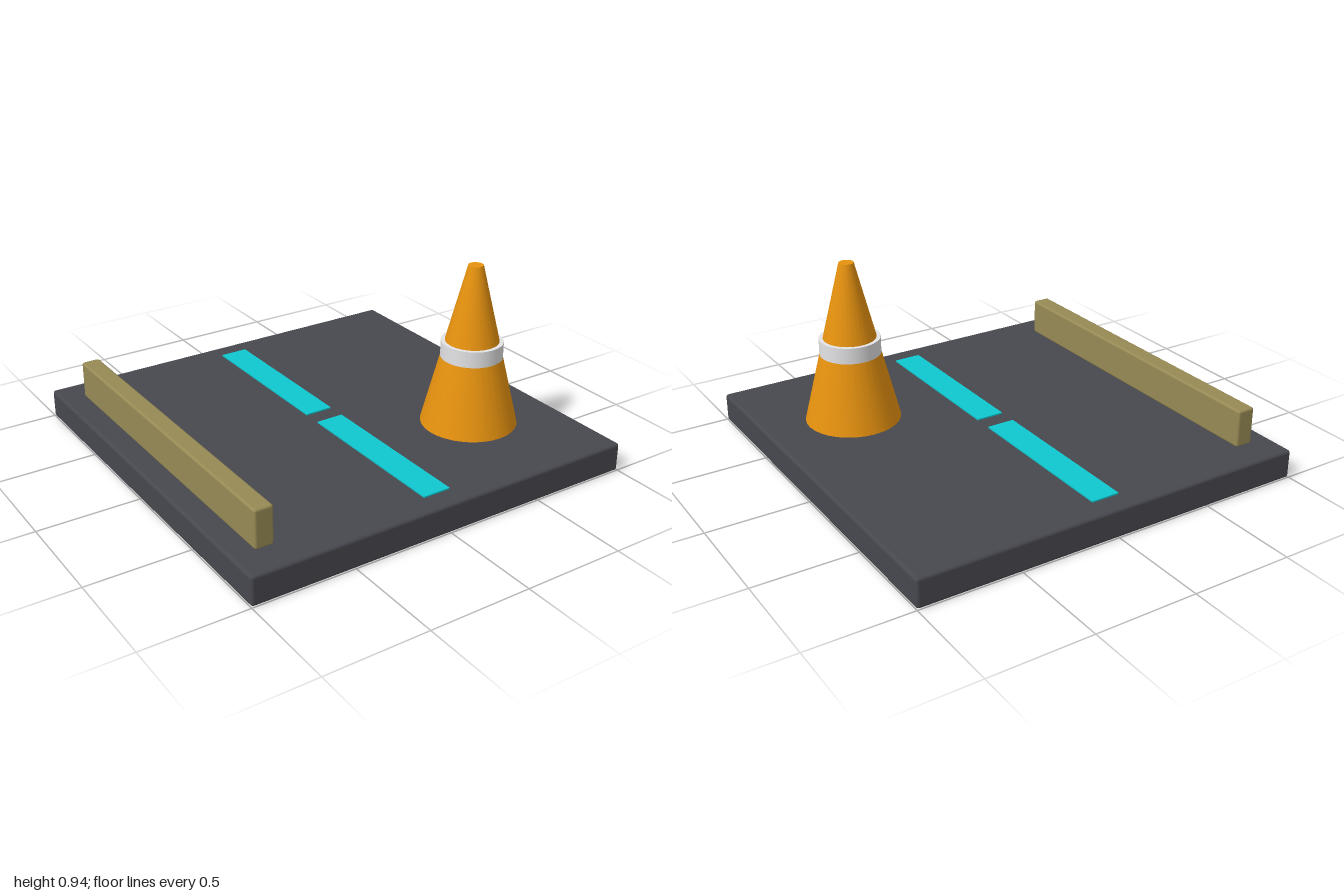
import * as THREE from 'three';
import { RoundedBoxGeometry } from 'three/addons/geometries/RoundedBoxGeometry.js';

const paint = (name, color) => {
  const m = new THREE.MeshStandardMaterial({ color });
  m.name = name;
  return m;
};

export function createModel() {
  const asphalt = paint('asphalt', 0x47474f);
  const cyan = paint('cyan paint', 0x0fc8d0);
  const orange = paint('cone orange', 0xe8930f);
  const white = paint('reflective white', 0xe4e4e6);
  const olive = paint('rail olive', 0x978a55);

  const model = new THREE.Group();
  model.name = 'roadTile';
  const add = (name, geometry, material, x, y, z, parent = model) => {
    const mesh = new THREE.Mesh(geometry, material);
    mesh.name = name;
    mesh.position.set(x, y, z);
    parent.add(mesh);
    return mesh;
  };

  // Road slab with slightly softened edges
  const top = 0.143;
  add('roadSlab', new RoundedBoxGeometry(2, top, 2, 3, 0.015), asphalt, 0, top / 2, 0);

  // Two centre line dashes, front and back
  for (const side of [-1, 1]) {
    add(side > 0 ? 'frontDash' : 'backDash',
      new THREE.BoxGeometry(0.14, 0.008, 0.844), cyan, 0, top + 0.003, side * 0.47);
  }

  // Low guard rail along the edge
  add('guardRail', new RoundedBoxGeometry(0.092, 0.188, 1.694, 2, 0.012), olive,
    -0.845, top + 0.094, 0);

  // Traffic cone with a reflective collar
  const cone = new THREE.Group();
  cone.name = 'trafficCone';
  cone.position.set(0.56, top, 0.42);
  model.add(cone);
  add('coneBody', new THREE.CylinderGeometry(0.036, 0.234, 0.8, 32), orange, 0, 0.4, 0, cone);
  add('coneCollar', new THREE.CylinderGeometry(0.149, 0.149, 0.083, 32), white, 0, 0.382, 0, cone);

  return model;
}
